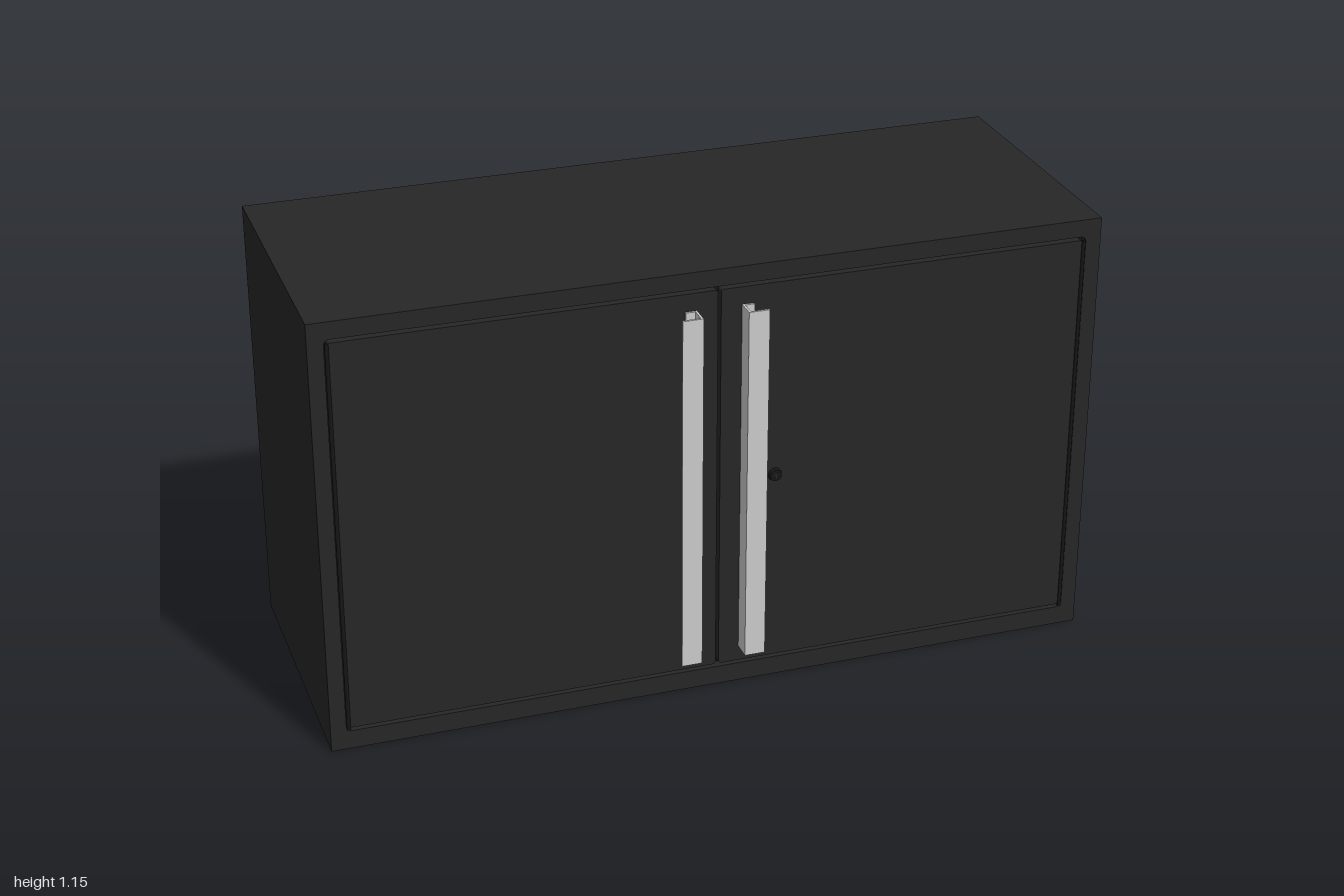
import * as THREE from 'three';

const W = 2, H = 1.15, BACK = -0.4, FRONT = 0.35;
const black = new THREE.MeshStandardMaterial({ color: 0x262626 });
const darkMetal = new THREE.MeshStandardMaterial({ color: 0x161616 });
const grey = new THREE.MeshStandardMaterial({ color: 0xcccccc });

function add(parent, name, geometry, material, x = 0, y = 0, z = 0) {
  const mesh = new THREE.Mesh(geometry, material);
  mesh.name = name;
  mesh.position.set(x, y, z);
  parent.add(mesh);
  return mesh;
}

// Rectangle with small rounded corners
function roundedRect(path, x0, y0, x1, y1, r) {
  path.moveTo(x0 + r, y0);
  path.lineTo(x1 - r, y0);
  path.quadraticCurveTo(x1, y0, x1, y0 + r);
  path.lineTo(x1, y1 - r);
  path.quadraticCurveTo(x1, y1, x1 - r, y1);
  path.lineTo(x0 + r, y1);
  path.quadraticCurveTo(x0, y1, x0, y1 - r);
  path.lineTo(x0, y0 + r);
  path.quadraticCurveTo(x0, y0, x0 + r, y0);
  return path;
}

function extrude(shape, depth) {
  return new THREE.ExtrudeGeometry(shape, { depth, bevelEnabled: false, curveSegments: 4 });
}

function polygon(points) {
  return new THREE.Shape(points.map(([x, y]) => new THREE.Vector2(x, y)));
}

export function createModel() {
  const cabinet = new THREE.Group();
  cabinet.name = 'wallCabinet';

  // Carcass: a tube of sheet with a front opening, closed by a back panel
  const backThickness = 0.02;
  const outline = polygon([[-W / 2, 0], [W / 2, 0], [W / 2, H], [-W / 2, H]]);
  outline.holes.push(roundedRect(new THREE.Path(), -0.96, 0.05, 0.96, 1.105, 0.015));
  add(cabinet, 'carcass', extrude(outline, FRONT - BACK - backThickness), black, 0, 0, BACK + backThickness);
  add(cabinet, 'backPanel', new THREE.BoxGeometry(W, H, backThickness), black, 0, H / 2, BACK + backThickness / 2);

  // Dark rebate behind the gaps around the doors
  add(cabinet, 'doorStop', new THREE.BoxGeometry(1.92, 1.055, 0.01), darkMetal, 0, 0.5775, 0.32);

  for (const [side, s] of [['left', 1], ['right', -1]]) {
    const door = new THREE.Group();
    door.name = side + 'Door';
    cabinet.add(door);

    // Flush door leaf
    const inner = s * 0.004, outer = s * 0.951;
    const leaf = roundedRect(new THREE.Shape(), Math.min(inner, outer), 0.059, Math.max(inner, outer), 1.096, 0.008);
    add(door, side + 'DoorLeaf', extrude(leaf, 0.025), black, 0, 0, FRONT - 0.025);

    // Full-height hinge barrel at the outer edge
    add(door, side + 'Hinge', new THREE.CylinderGeometry(0.005, 0.005, 1.04, 10), darkMetal, s * 0.954, 0.575, FRONT);

    // Bent-sheet channel pull: mounting flange, web and wide grip, opening outward
    const t = 0.006, d = 0.05;
    const profile = polygon([
      [0, 0], [0.03, 0], [0.03, t], [t, t], [t, d - t], [0.053, d - t], [0.053, d], [0, d],
    ].map(([x, z]) => [s * (0.057 + x), -z]));
    const pull = add(door, side + 'Pull', extrude(profile, 0.95), grey, 0, 0.1, FRONT);
    pull.rotation.x = -Math.PI / 2;
  }

  // Cylinder lock with its key slot
  const lock = new THREE.Group();
  lock.name = 'lock';
  lock.position.set(0.148, 0.577, FRONT);
  cabinet.add(lock);
  const barrel = add(lock, 'lockBarrel', new THREE.CylinderGeometry(0.015, 0.018, 0.01, 24), darkMetal, 0, 0, 0.004);
  barrel.rotation.x = Math.PI / 2;
  add(lock, 'keySlot', new THREE.BoxGeometry(0.004, 0.016, 0.002), black, 0, 0, 0.009);

  return cabinet;
}
